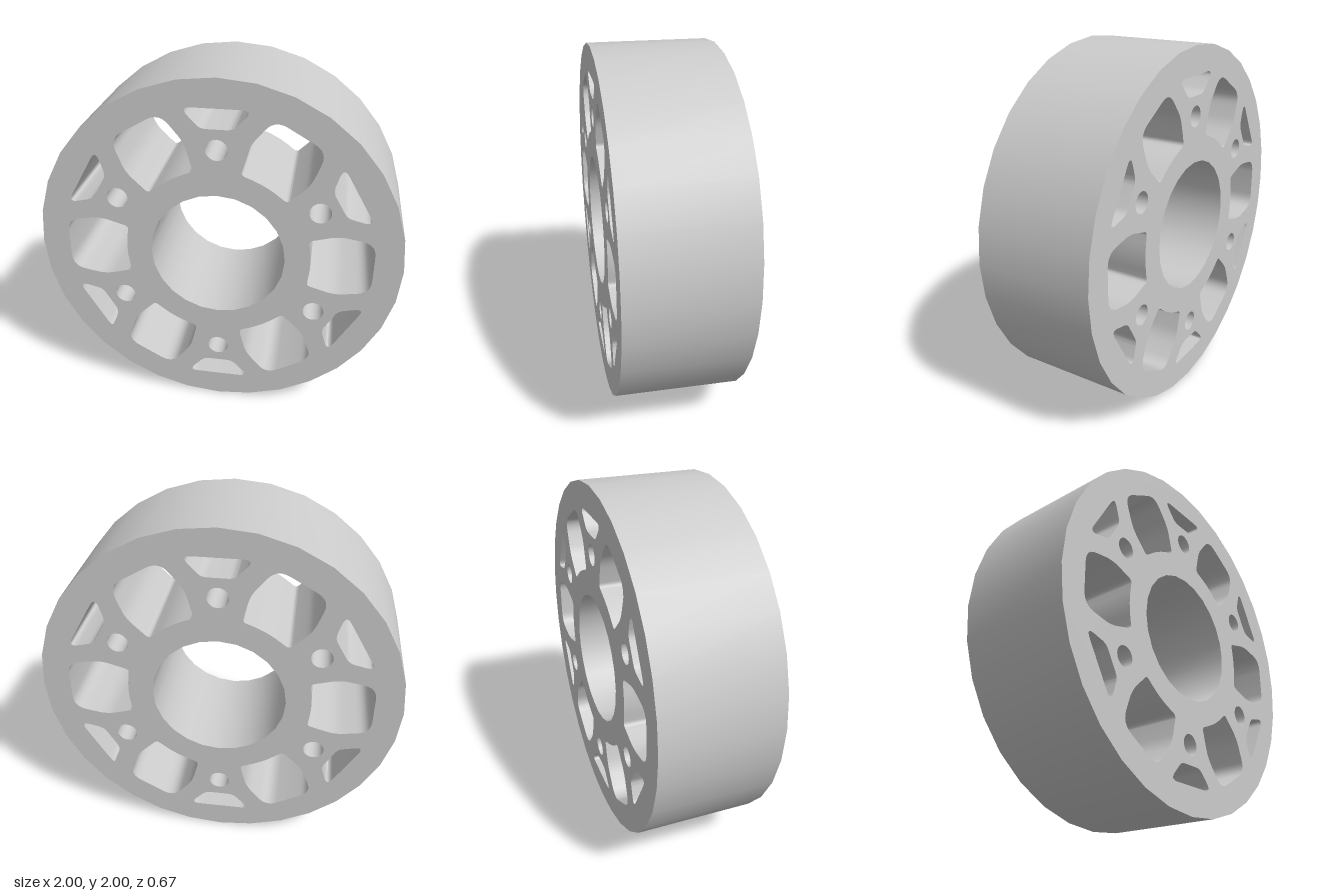
import * as THREE from 'three';
import { toCreasedNormals } from 'three/addons/utils/BufferGeometryUtils.js';

const DEPTH = 0.666;

// Regular polygon path around a centre
function ring(Type, cx, cy, r, sides) {
  const pts = [];
  for (let i = 0; i < sides; i++) {
    const a = (i / sides) * Math.PI * 2;
    pts.push(new THREE.Vector2(cx + r * Math.cos(a), cy + r * Math.sin(a)));
  }
  return new Type(pts);
}

// Closed hole from corners [radial, sideways, cut], mirrored about its radial axis,
// each corner rounded from 'cut' before it to 'cut' after it
function pocket(half, angle) {
  const mirrored = half.filter(c => c[1] > 0).reverse().map(([r, t, cut]) => [r, -t, cut]);
  const corners = [...half, ...mirrored];
  const pts = corners.map(([r, t]) => new THREE.Vector2(r, t).rotateAround(new THREE.Vector2(), angle));
  const path = new THREE.Path();
  pts.forEach((p, i) => {
    const toward = q => p.clone().add(q.clone().sub(p).setLength(corners[i][2]));
    const a = toward(pts.at(i - 1));
    const b = toward(pts[(i + 1) % pts.length]);
    if (i === 0) path.moveTo(a.x, a.y);
    else path.lineTo(a.x, a.y);
    path.quadraticCurveTo(p.x, p.y, b.x, b.y);
  });
  path.closePath();
  return path;
}

export function createModel() {
  const group = new THREE.Group();
  const largeWindow = [[0.514, 0, 0.08], [0.494, 0.141, 0.022], [0.65, 0.185, 0.05], [0.843, 0.153, 0.075]];
  const smallSlot = [[0.737, 0.083, 0.03], [0.845, 0.185, 0.06]];

  // Rim outline with centre bore
  const outline = ring(THREE.Shape, 0, 0, 1, 32);
  outline.holes.push(ring(THREE.Path, 0, 0, 0.37, 24));

  // Six large windows, with a bolt hole and a slot between each pair
  for (let i = 0; i < 6; i++) {
    const a = (i * Math.PI) / 3;
    const b = a + Math.PI / 6;
    outline.holes.push(
      pocket(largeWindow, a),
      pocket(smallSlot, b),
      ring(THREE.Path, 0.626 * Math.cos(b), 0.626 * Math.sin(b), 0.058, 20)
    );
  }

  const geometry = new THREE.ExtrudeGeometry(outline, { depth: DEPTH, bevelEnabled: false, curveSegments: 6 });
  geometry.translate(0, 1, -DEPTH / 2);
  const wheel = new THREE.Mesh(
    toCreasedNormals(geometry, 0.7),
    new THREE.MeshStandardMaterial({ color: 0xcccccc })
  );
  wheel.name = 'wheelBody';
  group.add(wheel);
  return group;
}
